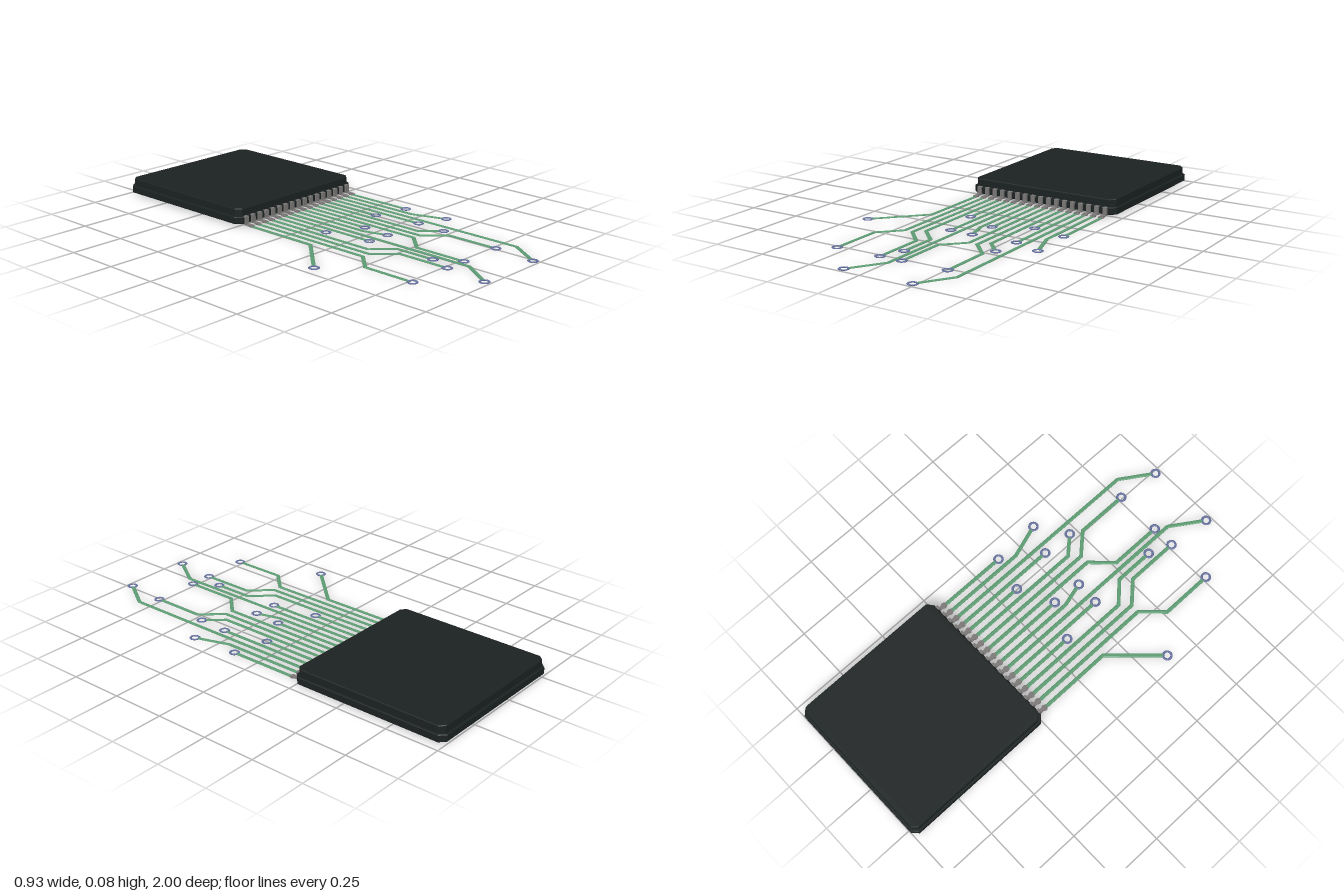
import * as THREE from 'three';

const paint = (color, flat = false) => {
  const m = new THREE.MeshStandardMaterial({ flatShading: flat });
  m.color.set(color);
  return m;
};
const black = paint(0x1c2222, true);
const metal = paint(0x7c7878);
const green = paint(0x5c9c72, true);
const blue = paint(0x6672a0);

const CX = 0.086, CZ = -0.619;          // centre of the chip body
const PIN_X0 = -0.247, PITCH = 0.0416;  // pin row
const PAD_Z = -0.2, RING_R = 0.019, RING_T = 0.0055;

// Square slab with cut corners and a small bevelled rim
function slab(w, d, cut, y0, y1, bevel) {
  const a = w / 2 - bevel, b = d / 2 - bevel;
  const s = new THREE.Shape([
    [-a + cut, -b], [a - cut, -b], [a, -b + cut], [a, b - cut],
    [a - cut, b], [-a + cut, b], [-a, b - cut], [-a, -b + cut],
  ].map(([x, y]) => new THREE.Vector2(x, y)));
  const g = new THREE.ExtrudeGeometry(s, {
    depth: y1 - y0 - 2 * bevel, bevelEnabled: true,
    bevelThickness: bevel, bevelSize: bevel, bevelSegments: 1,
  });
  return g.rotateX(-Math.PI / 2).translate(CX, y0 + bevel, CZ);
}

// Thin mitred strip that follows a path of [x, z] points
function strip(path) {
  const pts = path.map(([x, z]) => new THREE.Vector2(x, z));
  const section = [[-0.0085, 0.001], [0.0085, 0.001], [0.0085, 0.003], [0.005, 0.005], [-0.005, 0.005], [-0.0085, 0.003]];
  const n = section.length, pos = [], idx = [];
  const side = (p, q) => {
    const d = q.clone().sub(p).normalize();
    return new THREE.Vector2(d.y, -d.x);
  };
  pts.forEach((p, i) => {
    const n0 = i > 0 ? side(pts[i - 1], p) : side(p, pts[1]);
    const n1 = i < pts.length - 1 ? side(p, pts[i + 1]) : n0;
    const m = n0.clone().add(n1).normalize();
    m.divideScalar(m.dot(n0));
    for (const [u, y] of section) pos.push(p.x + m.x * u, y, p.y + m.y * u);
    if (i === 0) return;
    for (let j = 0; j < n; j++) {
      const a = (i - 1) * n + j, b = (i - 1) * n + (j + 1) % n;
      idx.push(a, b, b + n, a, b + n, a + n);
    }
  });
  const g = new THREE.BufferGeometry();
  g.setAttribute('position', new THREE.Float32BufferAttribute(pos, 3));
  g.setIndex(idx);
  g.computeVertexNormals();
  return g;
}

// Each trace leaves its pin straight to z = first value, then visits the listed [x, z] points
const routes = [
  [0.16, [-0.445, 0.37]],
  [0.423, [-0.297, 0.518], [-0.297, 0.768]],
  [0.423, [-0.075, 0.518], [-0.075, 0.768]],
  [0.38, [-0.034, 0.472], [-0.034, 0.66]],
  [0.097],
  [0.314],
  [0.82, [-0.098, 0.973]],
  [0.206, [0.075, 0.319]],
  [0.178],
  [0.423, [0.035, 0.518], [0.035, 0.768]],
  [0.423, [0.257, 0.518], [0.257, 0.768]],
  [0.38, [0.286, 0.463]],
  [0.097],
  [0.314],
  [0.82, [0.236, 0.973]],
  [0.206, [0.429, 0.366]],
  [0.136],
];

export function createModel() {
  const model = new THREE.Group();
  const add = (parent, name, geo, mat) => {
    const mesh = new THREE.Mesh(geo, mat);
    mesh.name = name;
    parent.add(mesh);
    return mesh;
  };
  const group = (name) => {
    const g = new THREE.Group();
    g.name = name;
    model.add(g);
    return g;
  };

  // Chip body: wide base and a slightly smaller lid
  const chip = group('chipBody');
  add(chip, 'chipBase', slab(0.756, 0.762, 0.025, 0.008, 0.042, 0.003), black);
  add(chip, 'chipLid', slab(0.738, 0.742, 0.022, 0.038, 0.077, 0.003), black);

  const pins = group('pins'), traces = group('traces'), rings = group('endRings');
  const leg = new THREE.BoxGeometry(0.02, 0.034, 0.018);
  const foot = new THREE.BoxGeometry(0.018, 0.005, 0.04);
  const pad = new THREE.CylinderGeometry(0.014, 0.014, 0.005, 16);
  const ring = new THREE.TorusGeometry(RING_R, RING_T, 8, 24).rotateX(Math.PI / 2).scale(1, 0.45, 1);

  routes.forEach(([z, ...rest], i) => {
    const x = PIN_X0 + i * PITCH;

    // Pin: upright leg against the body, flat foot, round solder pad
    add(pins, 'pinLeg', leg, metal).position.set(x, 0.026, -0.237);
    add(pins, 'pinFoot', foot, metal).position.set(x, 0.0065, -0.222);
    add(pins, 'solderPad', pad, metal).position.set(x, 0.0045, PAD_Z);

    // Trace, stopped at the rim of its ring so the hole stays open
    const path = [[x, PAD_Z], [x, z], ...rest];
    const end = path[path.length - 1], prev = path[path.length - 2];
    const dx = end[0] - prev[0], dz = end[1] - prev[1], len = Math.hypot(dx, dz);
    path[path.length - 1] = [end[0] - dx / len * RING_R, end[1] - dz / len * RING_R];
    add(traces, 'trace', strip(path), green);
    add(rings, 'endRing', ring, blue).position.set(end[0], 0.0027, end[1]);
  });

  return model;
}
